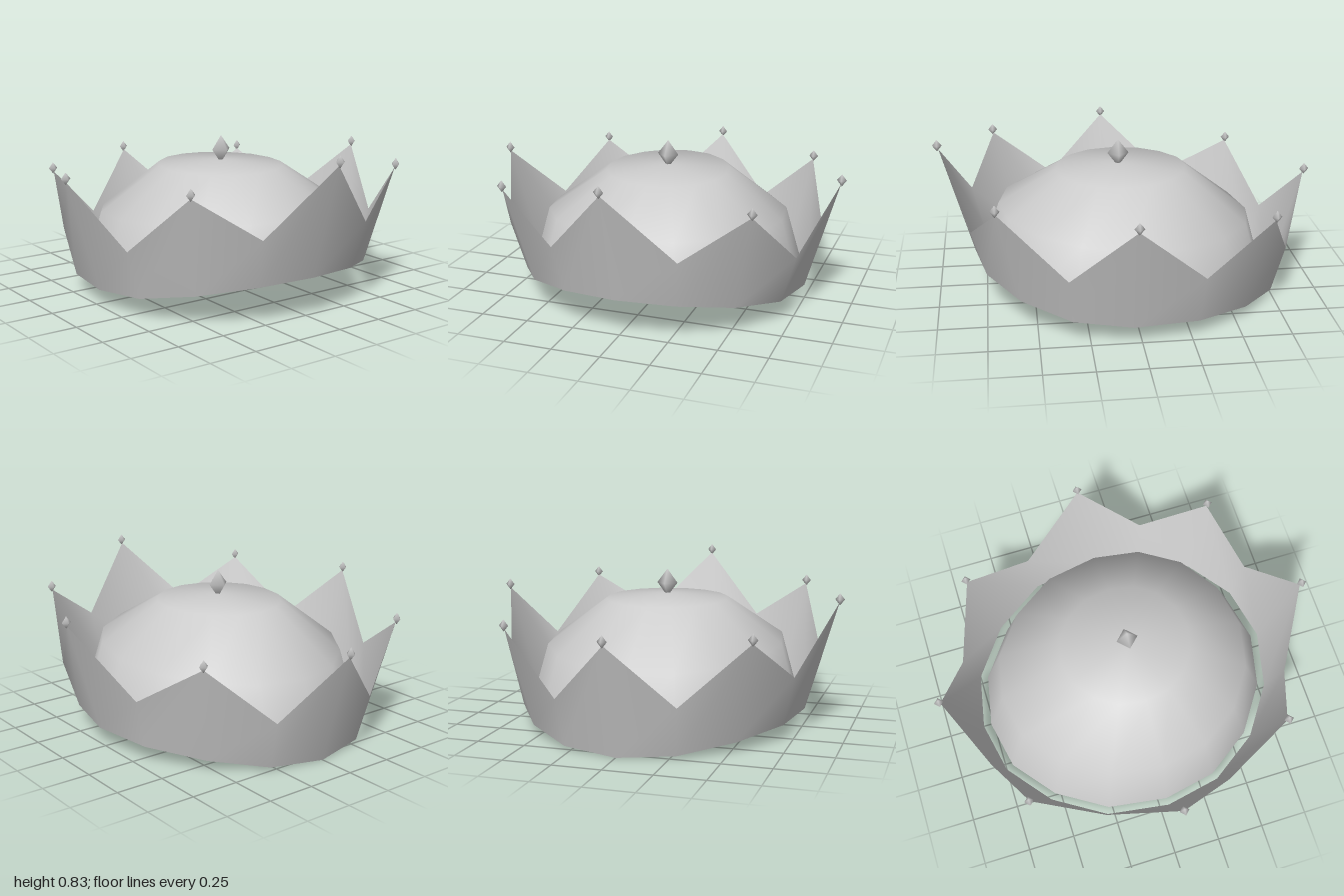
import * as THREE from 'three';

// Half outlines from front (+z) round to back (-z), mirrored to full 16-point loops
const bandBottom = [
  [0, 0.21, 0.805], [0.29, 0.195, 0.745], [0.535, 0.155, 0.58], [0.7, 0.11, 0.335], [0.755, 0.09, 0.04],
  [0.705, 0.083, -0.29], [0.53, 0.055, -0.56], [0.285, 0.02, -0.75], [0, 0.003, -0.808],
];
const bandTop = [
  [0, 0.785, 0.967], [0.32, 0.445, 0.815], [0.635, 0.66, 0.685], [0.775, 0.36, 0.355], [0.92, 0.66, 0.04],
  [0.76, 0.335, -0.31], [0.627, 0.565, -0.668], [0.305, 0.27, -0.815], [0, 0.578, -0.97],
];

// Dome rim sits just inside the lower edge of the band
const domeRim = bandBottom.map(([x, y, z]) => [x * 0.95, y, 0.04 + (z - 0.04) * 0.95]);
const domeTop = [0, 0.675, 0.04];

const mirrorLoop = (half) => [
  ...half,
  ...half.slice(1, -1).reverse().map(([x, y, z]) => [-x, y, z]),
];

// Smooth skin through closed loops, optionally closed by a pole point
function loft(loops, pole) {
  const n = loops[0].length;
  const points = loops.flat();
  const index = [];
  for (let r = 0; r < loops.length - 1; r++) {
    for (let i = 0; i < n; i++) {
      const a = r * n + i, b = r * n + (i + 1) % n;
      index.push(a, b, b + n, a, b + n, a + n);
    }
  }
  if (pole) {
    const base = (loops.length - 1) * n;
    points.push(pole);
    for (let i = 0; i < n; i++) index.push(base + i, base + (i + 1) % n, points.length - 1);
  }
  const geometry = new THREE.BufferGeometry();
  geometry.setAttribute('position', new THREE.Float32BufferAttribute(points.flat(), 3));
  geometry.setIndex(index);
  geometry.computeVertexNormals();
  return geometry;
}

export function createModel() {
  const crown = new THREE.Group();
  crown.name = 'crown';
  const silver = new THREE.MeshStandardMaterial({ color: 0xcccccc, side: THREE.DoubleSide });
  silver.name = 'silver grey';

  const add = (name, geometry) => {
    const mesh = new THREE.Mesh(geometry, silver);
    mesh.name = name;
    crown.add(mesh);
    return mesh;
  };

  // Flared band with eight points
  add('band', loft([mirrorLoop(bandBottom), mirrorLoop(bandTop)]));

  // Inner cap: rim, shoulder and crown loops, tilted less towards the top
  const capLoop = (scale, height, tilt) => mirrorLoop(domeRim.map(([x, , z]) => [
    x * scale, height + tilt * (z - 0.04), 0.04 + (z - 0.04) * scale,
  ]));
  add('cap', loft([mirrorLoop(domeRim), capLoop(0.87, 0.43, 0.06), capLoop(0.45, 0.65, 0)], domeTop));

  // Diamond-shaped gems: one on each point and a large one on the cap
  const gemShape = new THREE.SphereGeometry(1, 4, 2);
  const addGem = (name, x, y, z, width, height) => {
    const gem = add(name, gemShape);
    gem.position.set(x, y, z);
    gem.scale.set(width, height, width);
  };
  mirrorLoop(bandTop).forEach(([x, y, z], i) => {
    if (i % 2 === 0) addGem('pointGem', x * 1.003, y + 0.019, z * 1.006, 0.025, 0.031);
  });
  addGem('capGem', 0, 0.728, 0.035, 0.056, 0.074);

  return crown;
}
